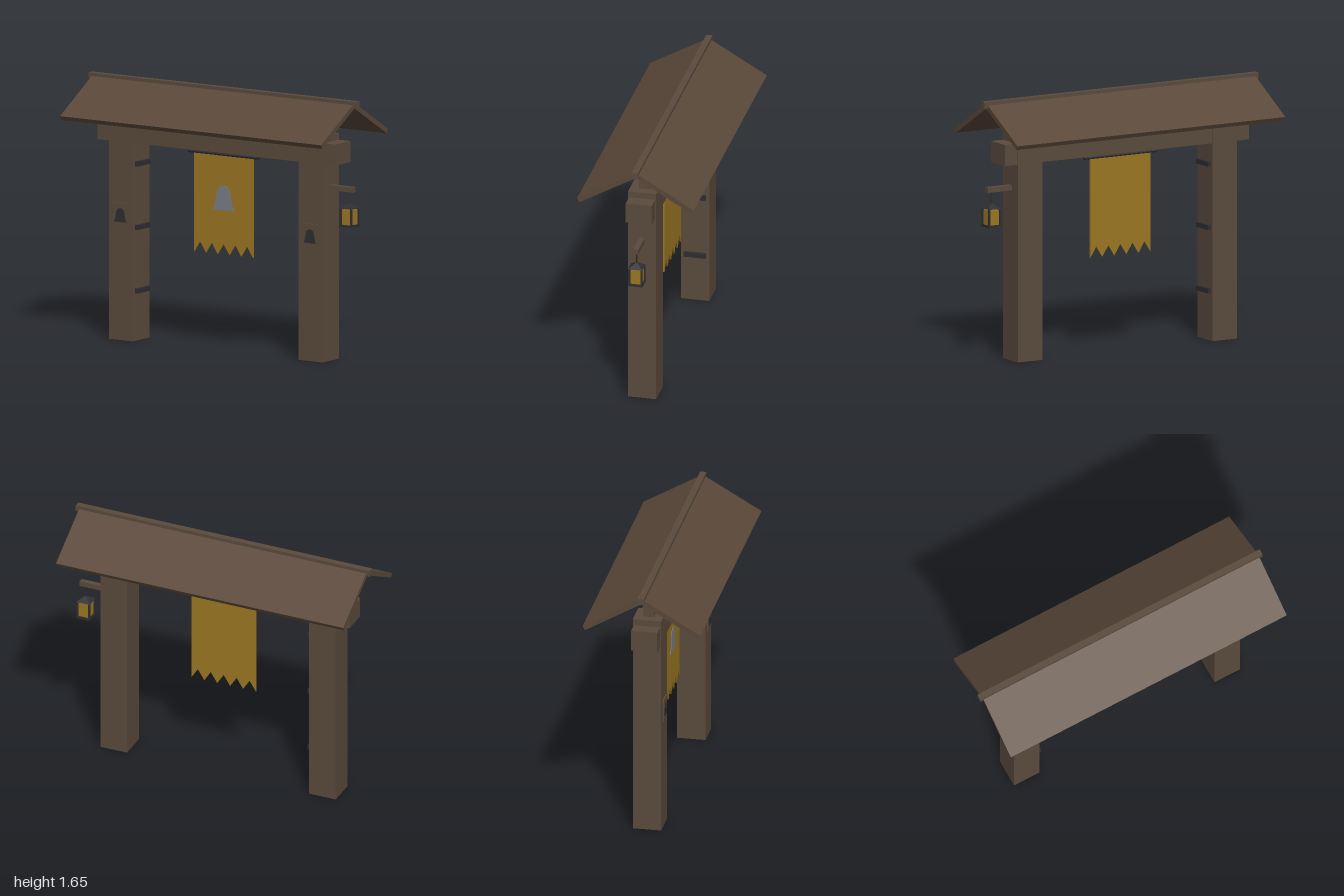
import * as THREE from 'three';

const mat = (name, color) => Object.assign(new THREE.MeshStandardMaterial({ color }), { name });

export function createModel() {
  const wood = mat('wood', 0x5a4a3c);
  const roofWood = mat('roofWood', 0x5a4839);
  const iron = mat('iron', 0x2e2e31);
  const cloth = mat('ochreCloth', 0x9c7723);
  const glass = mat('lanternGlass', 0x9c7723);
  const silver = mat('silver', 0x7b8088);

  const model = new THREE.Group();
  model.name = 'gateway';

  const add = (parent, name, geometry, material, x = 0, y = 0, z = 0) => {
    const mesh = new THREE.Mesh(geometry, material);
    mesh.name = name;
    mesh.position.set(x, y, z);
    parent.add(mesh);
    return mesh;
  };
  const box = (parent, name, material, w, h, d, x, y, z) =>
    add(parent, name, new THREE.BoxGeometry(w, h, d), material, x, y, z);
  const plate = (shape, depth) =>
    new THREE.ExtrudeGeometry(shape, { depth, bevelEnabled: false, curveSegments: 6 });

  // Bell outline standing on y = 0, w wide and h tall
  const bellShape = (w, h) => {
    const s = new THREE.Shape();
    s.moveTo(-w / 2, 0);
    s.lineTo(w / 2, 0);
    s.quadraticCurveTo(w * 0.36, h * 0.2, w * 0.32, h * 0.68);
    s.quadraticCurveTo(w * 0.24, h, 0, h);
    s.quadraticCurveTo(-w * 0.24, h, -w * 0.32, h * 0.68);
    s.quadraticCurveTo(-w * 0.36, h * 0.2, -w / 2, 0);
    return s;
  };

  // Posts with short roof supports and bell plaques
  for (const side of [-1, 1]) {
    const x = side * 0.71;
    box(model, 'post', wood, 0.18, 1.42, 0.18, x, 0.71, 0);
    box(model, 'roofSupport', wood, 0.07, 0.165, 0.066, x, 1.4925, 0);
    box(model, 'plaque', wood, 0.105, 0.145, 0.01, x, 0.793, 0.094);
    add(model, 'plaqueBell', plate(bellShape(0.096, 0.087), 0.003), iron, x, 0.745, 0.098);
  }

  // Crossbeam
  box(model, 'crossbeam', wood, 1.78, 0.133, 0.166, 0, 1.314, 0);

  // Roof slopes and ridge
  for (const side of [-1, 1]) {
    const slope = box(model, 'roofSlope', roofWood, 1.955, 0.03, 0.43, 0, 1.5195, side * 0.179);
    slope.rotation.x = side * Math.PI / 6;
  }
  box(model, 'ridge', wood, 2, 0.04, 0.04, 0, 1.63, 0);

  // Rungs on the inner side of one post
  for (const y of [0.315, 0.715, 1.115])
    box(model, 'rung', iron, 0.03, 0.03, 0.14, -0.613, y, 0);

  // Banner with a ragged lower edge
  const rod = add(model, 'bannerRod', new THREE.CylinderGeometry(0.011, 0.011, 0.53, 8), iron, 0, 1.225, 0);
  rod.rotation.z = Math.PI / 2;
  const banner = new THREE.Shape();
  banner.moveTo(0.22, 1.215);
  banner.lineTo(-0.22, 1.215);
  for (let i = 0; i <= 10; i++) banner.lineTo(-0.22 + i * 0.044, i % 2 ? 0.66 : 0.592);
  add(model, 'banner', plate(banner, 0.01), cloth, 0, 0, -0.005);
  add(model, 'bannerBell', plate(bellShape(0.16, 0.158), 0.004), silver, 0, 0.872, 0.004);

  // Lantern on its bracket
  box(model, 'lanternArm', wood, 0.18, 0.033, 0.033, 0.885, 1.092, 0);
  const lantern = new THREE.Group();
  lantern.name = 'lantern';
  lantern.position.set(0.94, 0, 0);
  model.add(lantern);
  add(lantern, 'hanger', new THREE.CylinderGeometry(0.004, 0.004, 0.09, 6), iron, 0, 1.037, 0);
  const cap = new THREE.CylinderGeometry(0.008, 0.066, 0.03, 4);
  cap.rotateY(Math.PI / 4);
  add(lantern, 'lanternCap', cap.toNonIndexed(), iron, 0, 0.988, 0);
  box(lantern, 'lanternBase', iron, 0.092, 0.014, 0.092, 0, 0.865, 0);
  box(lantern, 'lanternGlass', glass, 0.074, 0.094, 0.074, 0, 0.918, 0);
  for (const sx of [-1, 1])
    for (const sz of [-1, 1])
      box(lantern, 'lanternBar', iron, 0.012, 0.114, 0.012, sx * 0.039, 0.918, sz * 0.039);

  iron.flatShading = true;
  return model;
}
